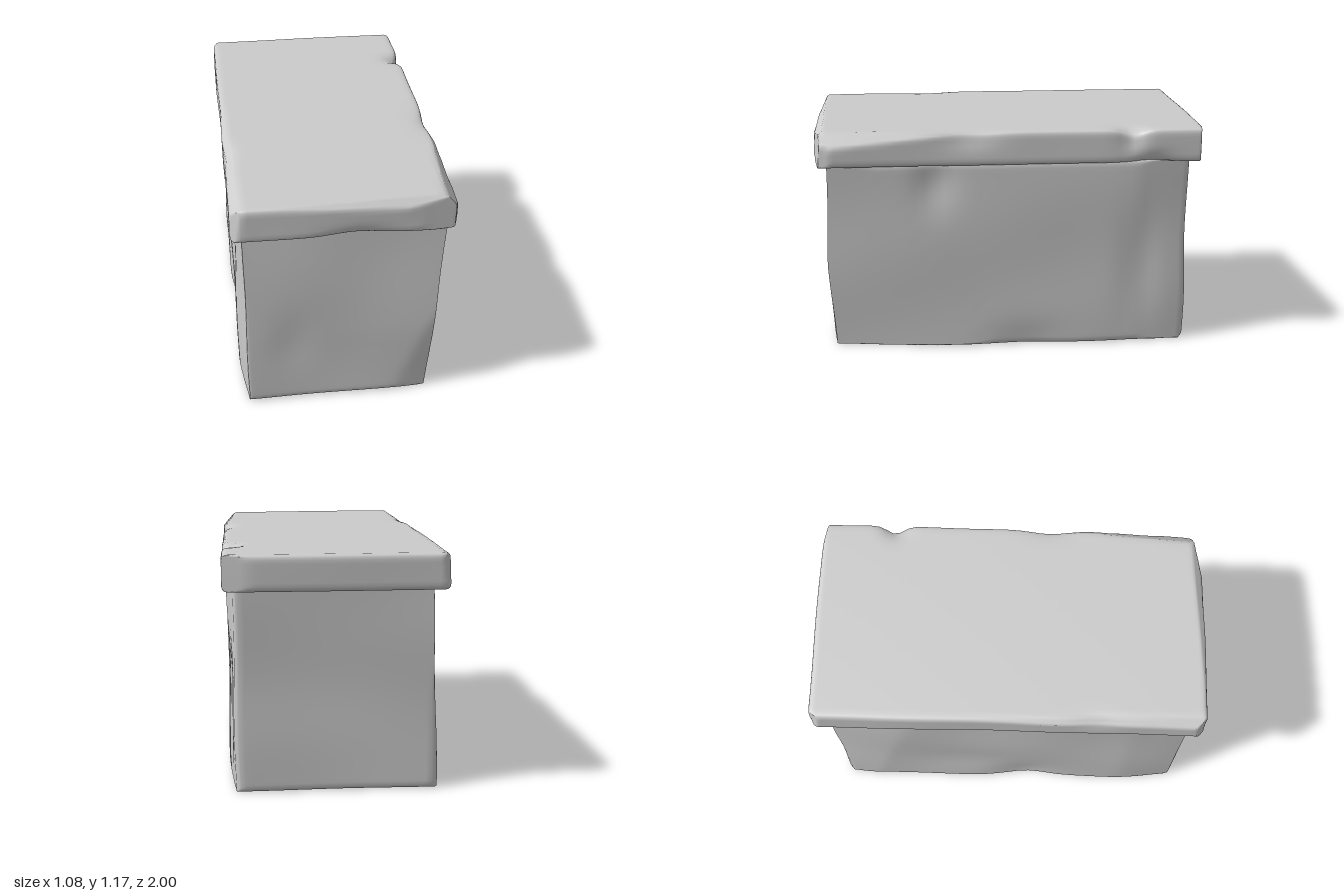
import * as THREE from 'three';
import { mergeVertices } from 'three/addons/utils/BufferGeometryUtils.js';

const material = new THREE.MeshStandardMaterial({ color: 0xcccccc });

// Gentle hand-carved unevenness
const wobble = (a, b, phase) =>
  0.5 * Math.sin(a * 5.3 + b * 3.1 + phase) + 0.5 * Math.sin(b * 7.7 - a * 2.3 + phase * 2);

// Worn stone block: rounded box, then plane chips, soft dents and wobble.
// cuts: [point, outward normal]; dents: [centre, radii, push]
function stoneBlock(name, half, centreY, radius, rough, segments, cuts, dents) {
  const h = new THREE.Vector3(...half);
  const inner = h.clone().subScalar(radius);
  let geo = new THREE.BoxGeometry(2, 2, 2, ...segments);
  geo.deleteAttribute('uv');
  geo.deleteAttribute('normal');
  geo = mergeVertices(geo);

  const planes = cuts.map(([p, n]) =>
    new THREE.Plane().setFromNormalAndCoplanarPoint(new THREE.Vector3(...n).normalize(), new THREE.Vector3(...p)));
  const pos = geo.attributes.position;
  const p = new THREE.Vector3(), core = new THREE.Vector3(), q = new THREE.Vector3();
  const spread = (t) => Math.sin(t * Math.PI / 2); // crowds the grid near the edges

  for (let i = 0; i < pos.count; i++) {
    p.fromBufferAttribute(pos, i);
    p.set(spread(p.x), spread(p.y), spread(p.z)).multiply(h);

    // Round the edges
    core.copy(p).clamp(inner.clone().negate(), inner);
    p.sub(core).setLength(radius).add(core);
    p.y += centreY;

    // Knock off the chipped corners and edges
    for (const plane of planes) {
      const d = plane.distanceToPoint(p);
      if (d > 0) p.addScaledVector(plane.normal, -d);
    }
    // Soft hollows
    for (const [c, r, push] of dents) {
      const k = ((p.x - c[0]) / r[0]) ** 2 + ((p.y - c[1]) / r[1]) ** 2 + ((p.z - c[2]) / r[2]) ** 2;
      p.addScaledVector(q.set(...push), Math.exp(-k));
    }
    // Sides wander slightly, top and bottom stay level
    p.x += rough * wobble(p.y * 1.5, p.z, 1 + Math.sign(p.x));
    p.z += rough * wobble(p.y * 1.5, p.x, 2 + Math.sign(p.z));
    pos.setXYZ(i, p.x, Math.max(p.y, 0), p.z);
  }
  geo.computeVertexNormals();
  const mesh = new THREE.Mesh(geo, material);
  mesh.name = name;
  return mesh;
}

export function createModel() {
  const group = new THREE.Group();
  group.name = 'stoneChest';

  // Body: long faces shave inward towards the four vertical edges
  group.add(stoneBlock('chestBody', [0.515, 0.505, 0.94], 0.505, 0.03, 0.006, [28, 32, 52], [
    [[0.52, 0.5, 0.35], [0.59, -0.035, 0.06]],
    [[0.52, 0.5, -0.62], [0.34, 0, -0.04]],
    [[-0.52, 0.5, 0.6], [-0.34, 0, 0.04]],
    [[-0.52, 0.5, -0.6], [-0.34, 0.01, -0.04]],
    [[0.3, 0.1, 0.94], [0.08, -0.03, 0.6]],
    [[0, 0.2, 0.945], [0, 0.028, 1]],
    [[0, 0.0, -0.94], [0, 0.01, -1]],
    [[0.47, 0.5, -0.93], [0.7, 0, -0.7]],
    [[-0.48, 0.5, -0.93], [-0.7, 0, -0.7]],
    [[-0.49, 0.5, 0.93], [-0.7, 0, 0.7]],
    [[0.47, 0.5, 0.93], [0.7, -0.05, 0.7]],
  ], [
    [[0.52, 0.9, 0.38], [0.2, 0.14, 0.09], [-0.025, 0, 0]],
    [[0.52, 0.4, -0.68], [0.2, 0.3, 0.1], [-0.02, 0, 0]],
    [[0.52, 0.0, -0.1], [0.2, 0.12, 0.2], [-0.02, 0, 0]],
    [[-0.52, 0.05, 0.1], [0.2, 0.2, 0.15], [0.025, 0, 0]],
    [[-0.52, 0.35, -0.2], [0.2, 0.2, 0.3], [0.012, 0, 0]],
    [[-0.25, 0.35, 0.95], [0.1, 0.15, 0.2], [0, 0, -0.008]],
    [[0, 0.5, -0.94], [0.6, 0.25, 0.2], [0, 0, 0.018]],
  ]));

  // Lid: overhanging slab with broken corners and a notch in its right edge
  group.add(stoneBlock('lid', [0.538, 0.088, 0.997], 1.082, 0.028, 0.004, [28, 12, 64], [
    [[0.3, 1.08, 1.0], [0.05, 0.02, 0.24]],
    [[0.4, 1.08, -1.0], [0.03, 0, -0.14]],
    [[-0.5, 1.08, 0.99], [-0.7, 0.1, 0.7]],
    [[0.52, 1.08, 0.95], [0.8, 0, 0.3]],
    [[0.51, 1.17, 0.45], [0.7, 0.6, 0.06]],
    [[-0.52, 1.165, 0], [-0.6, 0.8, 0.02]],
    [[0, 1.165, 0.97], [0.03, 0.7, 0.6]],
    [[-0.53, 1.08, -0.97], [-0.8, 0.1, -0.6]],
  ], [
    [[0.54, 1.17, -0.62], [0.07, 0.1, 0.06], [-0.03, -0.035, 0]],
    [[0.54, 1.16, 0.2], [0.06, 0.07, 0.14], [-0.02, -0.012, 0]],
    [[-0.54, 1.16, 0.45], [0.06, 0.07, 0.12], [0.012, -0.01, 0]],
    [[0.05, 1.0, 1.0], [0.14, 0.04, 0.05], [0, 0.018, -0.01]],
    [[0.54, 1.0, -0.72], [0.06, 0.05, 0.12], [-0.015, 0.012, 0]],
  ]));
  return group;
}
